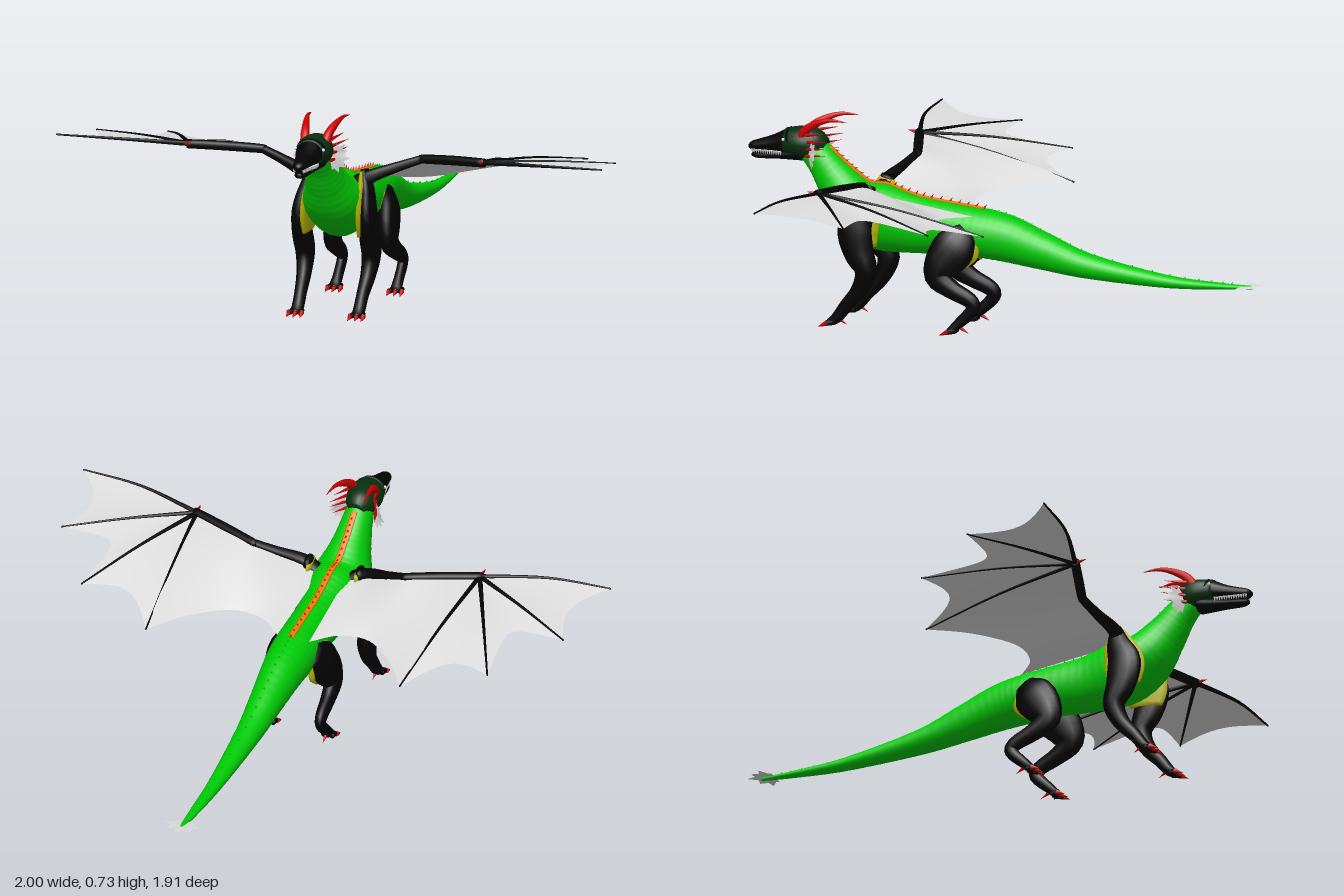
import * as THREE from 'three';

const mat = (name, color, side = THREE.FrontSide) => {
  const m = new THREE.MeshStandardMaterial({ color, side });
  m.name = name;
  return m;
};
const green = mat('scale green', 0x00cc05), black = mat('limb black', 0x040204);
const darkGreen = mat('skull dark green', 0x06300e), red = mat('horn red', 0xcc0000);
const olive = mat('trim yellow', 0xb4b000), orange = mat('stripe orange', 0xf08000);
const grey = mat('membrane grey', 0xdedede, THREE.DoubleSide), white = mat('tooth white', 0xf0f0ec);

const V = (x, y, z) => new THREE.Vector3(x, y, z);
const X = V(1, 0, 0), Z = V(0, 0, 1);

// Smooth path through rows of [x, y, z, sideRadius, otherRadius]
function track(rows, ref = X) {
  const path = new THREE.CatmullRomCurve3(rows.map(r => V(r[0], r[1], r[2])), false, 'catmullrom');
  const radii = new THREE.CatmullRomCurve3(rows.map(r => V(r[3], r[4] ?? r[3], 0)), false, 'catmullrom');
  return t => {
    const p = path.getPoint(t), T = path.getTangent(t), r = radii.getPoint(t);
    const S = ref.clone().addScaledVector(T, -ref.dot(T)).normalize();
    return { p, T, S, U: T.clone().cross(S), rx: r.x, ry: r.y };
  };
}

// Closed elliptical skin along a track
function loft(rows, steps, sides = 14, ref = X, ripple = () => 1) {
  const at = track(rows, ref), pos = [], idx = [];
  for (let i = 0; i <= steps; i++) {
    const f = at(i / steps), k = ripple(i);
    for (let j = 0; j < sides; j++) {
      const a = j / sides * Math.PI * 2;
      const v = f.p.clone().addScaledVector(f.S, Math.cos(a) * f.rx * k).addScaledVector(f.U, Math.sin(a) * f.ry * k);
      pos.push(v.x, v.y, v.z);
      if (i < steps) {
        const A = i * sides + j, B = i * sides + (j + 1) % sides;
        idx.push(A, B, A + sides, B, B + sides, A + sides);
      }
    }
  }
  const c0 = pos.length / 3, last = steps * sides;
  for (const t of [0, 1]) pos.push(...at(t).p.toArray());
  for (let j = 0; j < sides; j++) {
    const n = (j + 1) % sides;
    idx.push(c0, n, j, c0 + 1, last + j, last + n);
  }
  return geometry(pos, idx);
}

function geometry(pos, idx) {
  const g = new THREE.BufferGeometry();
  g.setAttribute('position', new THREE.Float32BufferAttribute(pos, 3));
  g.setIndex(idx);
  g.computeVertexNormals();
  return g;
}

// Thin sheet spanned by a function of (u, v)
function sheet(fn, nu, nv) {
  const pos = [], idx = [];
  for (let i = 0; i <= nu; i++) for (let j = 0; j <= nv; j++) {
    pos.push(...fn(i / nu, j / nv).toArray());
    if (i < nu && j < nv) {
      const a = i * (nv + 1) + j, b = a + nv + 1;
      idx.push(a, b, a + 1, b, b + 1, a + 1);
    }
  }
  return geometry(pos, idx);
}

// Spiky fin: tips around a root, with notches between them
function fin(root, tips, notch) {
  const pos = [...root.toArray()], idx = [];
  tips.forEach((t, i) => {
    if (i) pos.push(...root.clone().lerp(t.clone().add(tips[i - 1]).multiplyScalar(0.5), notch).toArray());
    pos.push(...t.toArray());
  });
  for (let i = 1; i < tips.length * 2 - 1; i++) idx.push(0, i, i + 1);
  return geometry(pos, idx);
}

export function createModel() {
  const model = new THREE.Group();
  model.name = 'dragon';
  const add = (name, g, m) => {
    const mesh = new THREE.Mesh(g, m);
    mesh.name = name;
    model.add(mesh);
    return mesh;
  };
  const spike = (name, from, to, r, m) => {
    const d = to.clone().sub(from), mesh = add(name, new THREE.ConeGeometry(r, d.length(), 6), m);
    mesh.position.copy(from).addScaledVector(d, 0.5);
    mesh.quaternion.setFromUnitVectors(V(0, 1, 0), d.normalize());
  };

  // Neck, trunk and tail, with shallow bands
  const body = [
    [0, .62, .735, .045, .05], [0, .56, .68, .056, .06], [0, .492, .625, .074, .078], [0, .42, .555, .106, .1],
    [0, .385, .47, .104, .12], [0, .365, .35, .085, .105], [0, .36, .22, .083, .092], [0, .35, .1, .083, .088],
    [0, .335, 0, .073, .083], [0, .3, -.13, .06, .066], [0, .258, -.3, .046, .044], [0, .225, -.58, .028, .023],
    [0, .222, -.78, .017, .012], [0, .225, -.9, .007, .006]];
  add('body', loft(body, 156, 24, X, i => (i % 3 ? 1 : 0.99)), green);

  // Stripe and small spines down the back
  const at = track(body);
  const ridge = t => { const f = at(t); return f.p.addScaledVector(f.U, -f.ry); };
  const stripe = [];
  for (let i = 0; i <= 14; i++) stripe.push([...ridge(0.05 + i * 0.035).toArray(), .012, .004]);
  add('backStripe', loft(stripe, 56, 8), orange);
  for (let i = 0; i < 46; i++) {
    const t = 0.07 + i * 0.0195, f = at(t), onBack = t < 0.54, h = onBack ? .017 : .007;
    const base = ridge(t);
    const tip = base.clone().addScaledVector(f.U, -h).addScaledVector(f.T, h * 0.6);
    spike(onBack ? 'backSpine' : 'tailSpine', base, tip, .004, onBack ? red : green);
  }

  // Tail fin
  add('tailFin', fin(V(0, .226, -.855), [V(-.035, .222, -.848), V(-.07, .226, -.885), V(-.042, .23, -.925), V(0, .236, -.956),
    V(.042, .23, -.925), V(.07, .226, -.885), V(.035, .222, -.848)], 0.75), grey);

  // Head
  add('skull', loft([[0, .61, .675, .03, .035], [0, .62, .71, .054, .056], [0, .628, .76, .063, .056], [0, .628, .82, .05, .046]], 16, 18), darkGreen);
  add('snout', loft([[0, .63, .795, .056, .05], [0, .617, .86, .038, .031], [0, .608, .91, .028, .022],
    [0, .602, .942, .021, .017], [0, .598, .957, .007, .007]], 20, 18), black);
  add('lowerJaw', loft([[0, .588, .76, .045, .026], [0, .577, .85, .031, .015], [0, .571, .92, .022, .012], [0, .572, .945, .01, .008]], 14, 14), black);

  for (const s of [1, -1]) {
    const P = (x, y, z) => V(s * x, y, z);
    const flip = rows => rows.map(([x, ...r]) => [s * x, ...r]);
    const side = s > 0 ? 'left' : 'right';

    // Eyes, teeth, horns and cheeks
    const eye = add(side + 'Eye', new THREE.SphereGeometry(.006, 10, 8), white);
    eye.position.set(s * .05, .642, .815);
    for (let i = 0; i < 14; i++) {
      const z = .83 + i * .0085, x = .035 - i * .0014;
      spike(side + 'Tooth', P(x, .595, z), P(x, .579, z), .005, white);
    }
    add(side + 'Horn', loft(flip([[.035, .64, .76, .018], [.043, .683, .73, .016], [.055, .712, .68, .011],
      [.064, .725, .63, .006], [.07, .722, .575, .001]]), 20, 10), red);
    for (const [y, x, z] of [[.675, .075, .65], [.65, .088, .635], [.625, .09, .645], [.6, .08, .65]])
      spike(side + 'CheekSpike', P(.05, y - .012, .73), P(x, y, z), .007, red);
    add(side + 'EarFin', fin(P(.045, .6, .725), [P(.065, .645, .705), P(.088, .64, .685), P(.095, .615, .675), P(.105, .588, .68),
      P(.09, .56, .69), P(.07, .54, .7), P(.05, .55, .715)], 0.78), grey);

    // Front leg with a thin trim around the shoulder
    const front = [[.095, .51, .48, .014, .022], [.11, .44, .497, .024, .044], [.124, .36, .525, .028, .062],
      [.123, .28, .512, .033, .056], [.121, .21, .485, .034, .04], [.117, .14, .51, .027, .03],
      [.113, .08, .56, .022, .024], [.112, .035, .595, .022, .02], [.112, .017, .622, .022, .013]];
    add(side + 'FrontLeg', loft(flip(front), 32), black);
    add(side + 'ShoulderTrim', loft(flip([[.09, .5, .48, .01, .03], [.097, .435, .495, .016, .06],
      [.102, .36, .518, .016, .076], [.1, .29, .512, .012, .062]]), 14), olive);

    // Hind leg with a thin trim around the thigh
    const hind = [[.072, .367, .125, .015, .04], [.084, .315, .165, .036, .076], [.096, .255, .208, .036, .068],
      [.103, .205, .225, .031, .048], [.107, .165, .175, .026, .034], [.11, .13, .105, .021, .028],
      [.111, .1, .093, .018, .024], [.111, .05, .14, .018, .019], [.112, .017, .177, .022, .013]];
    add(side + 'HindLeg', loft(flip(hind), 32), black);
    add(side + 'ThighTrim', loft(flip([[.066, .37, .122, .012, .045], [.074, .325, .155, .02, .084], [.08, .28, .188, .014, .076]]), 10), olive);

    // Toes and claws
    for (const [label, z] of [['Front', .615], ['Hind', .168]]) {
      for (const k of [-1, 0, 1]) {
        const x = .112 + k * .016, x2 = .112 + k * .022;
        add(side + label + 'Toe', loft(flip([[x, .02, z - .015, .009], [x, .018, z + .005, .01], [x2, .014, z + .018, .008]]), 6, 8), black);
        spike(side + label + 'Claw', P(x2, .017, z + .01), P(x2 + k * .003, .003, z + .043), .0105, red);
      }
      spike(side + label + 'HeelClaw', P(.112, .03, z - .03), P(.112, .012, z - .06), .007, red);
    }

    // Wing arm and fingers
    const wrist = P(.535, .568, .515);
    add(side + 'UpperArm', loft(flip([[.06, .45, .485, .036], [.12, .488, .49, .025], [.21, .522, .46, .018], [.292, .55, .437, .015]]), 18, 10, Z), black);
    add(side + 'Forearm', loft(flip([[.28, .549, .437, .012], [.3, .551, .44, .016], [.42, .561, .478, .017], [.545, .568, .518, .016]]), 18, 10, Z), black);
    spike(side + 'WingClaw', wrist.clone(), P(.54, .575, .56), .01, red);
    const fingers = [
      [P(.77, .583, .577), P(.998, .587, .592)], [P(.74, .562, .4), P(.95, .545, .28)],
      [P(.65, .545, .275), P(.768, .5, .03)], [P(.507, .52, .22), P(.48, .445, -.075)]];
    const curves = fingers.map(([m, tip]) => new THREE.CatmullRomCurve3([wrist, m, tip], false, 'catmullrom'));
    fingers.forEach(([m, tip], i) => add(side + 'WingFinger',
      loft([[...wrist.toArray(), .009], [...m.toArray(), .0055], [...tip.toArray(), .003]], 12, 8, i < 2 ? Z : X), black));

    // Scalloped membrane between the fingers
    [.16, .31, .17].forEach((pull, i) => add(side + 'WingMembrane', sheet((u, v) => {
      const r = u * (1 - pull * 4 * v * (1 - v));
      const p = curves[i].getPoint(r).lerp(curves[i + 1].getPoint(r), v);
      p.y -= .008 * u * 4 * v * (1 - v);
      return p;
    }, 10, 14), grey));

    // Inner membrane from the arm back to the flank
    const lead = new THREE.CatmullRomCurve3([wrist, P(.42, .562, .478), P(.29, .55, .437), P(.13, .492, .485), P(.05, .472, .48)], false, 'catmullrom');
    const trail = new THREE.CatmullRomCurve3([P(.48, .445, -.075), P(.385, .445, .06), P(.26, .435, .172), P(.145, .425, .177), P(.06, .418, .11)], false, 'catmullrom');
    add(side + 'InnerMembrane', sheet((u, v) => {
      const p = lead.getPoint(v).lerp(trail.getPoint(v), u);
      p.y += .07 * u * (1 - u) * (1 - v);
      return p;
    }, 12, 20), grey);
  }
  return model;
}
